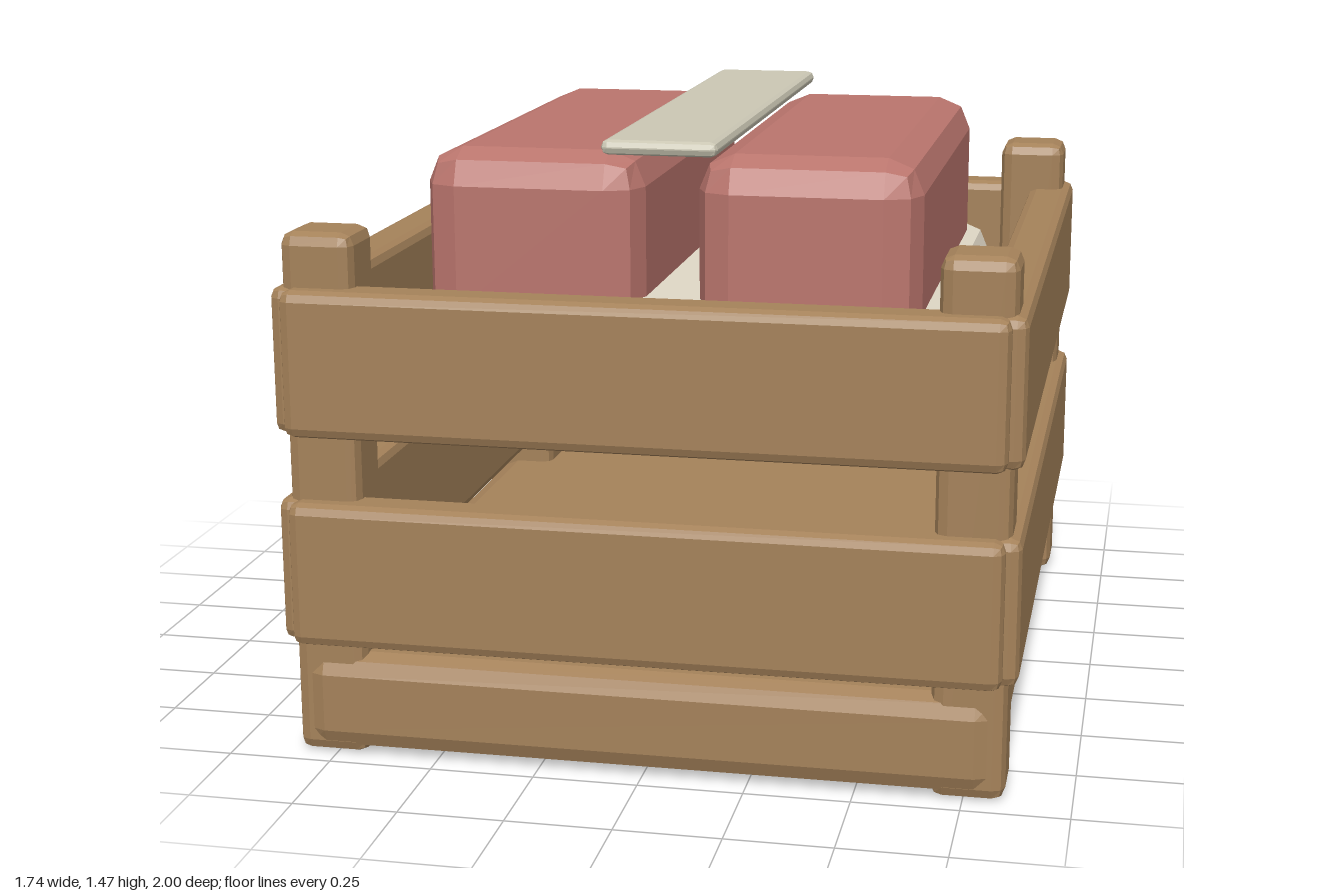
import * as THREE from 'three';
import { RoundedBoxGeometry } from 'three/addons/geometries/RoundedBoxGeometry.js';

const material = (name, color) => {
  const m = new THREE.MeshStandardMaterial({ color });
  m.name = name;
  return m;
};

// Box with a two-facet bevel and flat normals, given by its [min, max] on each axis
function bevelBox(name, mat, [x0, x1], [y0, y1], [z0, z1], radius) {
  const geometry = new RoundedBoxGeometry(x1 - x0, y1 - y0, z1 - z0, 1, radius);
  geometry.computeVertexNormals(); // unindexed, so each facet is flat
  const mesh = new THREE.Mesh(geometry, mat);
  mesh.position.set((x0 + x1) / 2, (y0 + y1) / 2, (z0 + z1) / 2);
  mesh.name = name;
  return mesh;
}

export function createModel() {
  const wood = material('wood', 0xa5825a);
  const red = material('red', 0xba756d);
  const cream = material('cream', 0xe0d8c6);
  const strapGrey = material('strap grey', 0xcbc7b4);

  const model = new THREE.Group();
  model.name = 'packedCrate';

  // Crate: solid base, corner posts and two rows of slats
  const crate = new THREE.Group();
  crate.name = 'crate';
  model.add(crate);
  crate.add(bevelBox('base', wood, [-0.825, 0.825], [0.01, 0.25], [-0.96, 0.96], 0.05));

  const span = (side, a, b) => (side > 0 ? [a, b] : [-b, -a]);
  for (const sx of [-1, 1]) {
    for (const sz of [-1, 1]) {
      crate.add(bevelBox('cornerPost', wood,
        span(sx, 0.672, 0.846), [0, 1.265], span(sz, 0.775, 0.948), 0.03));
    }
  }
  for (const y of [[0.283, 0.632], [0.79, 1.138]]) {
    for (const s of [-1, 1]) {
      crate.add(bevelBox(s > 0 ? 'frontSlat' : 'backSlat', wood,
        [-0.835, 0.835], y, span(s, 0.88, 1), 0.025));
      crate.add(bevelBox(s > 0 ? 'leftSlat' : 'rightSlat', wood,
        span(s, 0.75, 0.87), y, [-0.96, 0.96], 0.025));
    }
  }

  // Contents: padding, two bundles and a strap above them
  model.add(bevelBox('padding', cream, [-0.66, 0.66], [0.79, 1.07], [-0.76, 0.76], 0.11));
  for (const s of [-1, 1]) {
    model.add(bevelBox(s > 0 ? 'leftBundle' : 'rightBundle', red,
      span(s, 0.065, 0.597), [0.95, 1.42], [-0.657, 0.657], 0.085));
  }
  model.add(bevelBox('strap', strapGrey, [-0.137, 0.137], [1.431, 1.466], [-0.732, 0.732], 0.016));

  return model;
}
